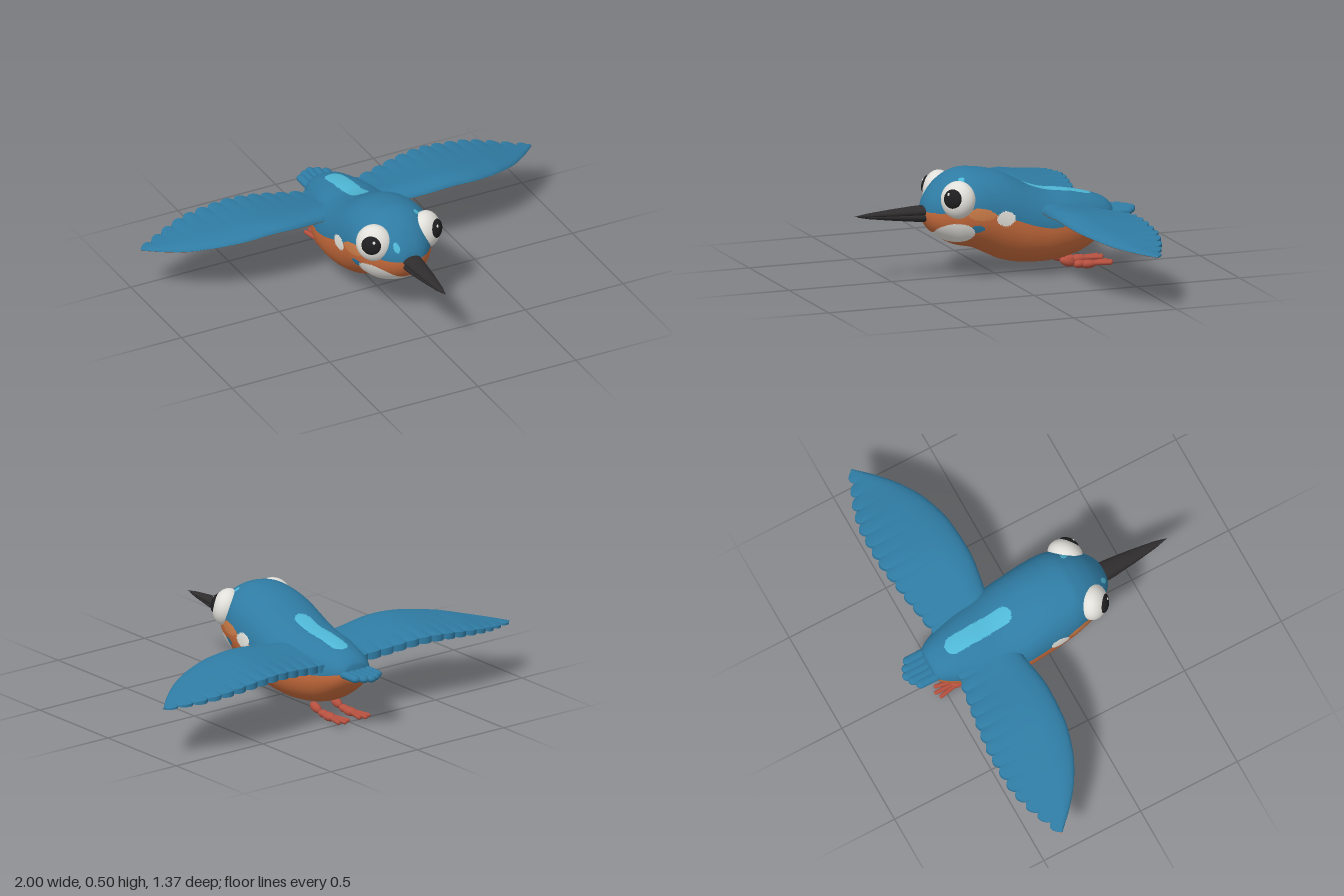
import * as THREE from 'three';
import { mergeVertices, toCreasedNormals } from 'three/addons/utils/BufferGeometryUtils.js';

const paint = (name, color) => {
  const m = new THREE.MeshStandardMaterial({ color });
  m.name = name;
  return m;
};

// smooth monotone curve through [position, value] pairs, positions ascending
function curve(pts) {
  const n = pts.length;
  const d = pts.slice(1).map((p, i) => (p[1] - pts[i][1]) / (p[0] - pts[i][0]));
  const m = pts.map((_, i) => {
    if (i === 0) return d[0];
    if (i === n - 1) return d[n - 2];
    return d[i - 1] * d[i] <= 0 ? 0 : (2 * d[i - 1] * d[i]) / (d[i - 1] + d[i]);
  });
  return (x) => {
    x = Math.min(Math.max(x, pts[0][0]), pts[n - 1][0]);
    let i = 0;
    while (i < n - 2 && x > pts[i + 1][0]) i++;
    const h = pts[i + 1][0] - pts[i][0], t = (x - pts[i][0]) / h, q = 1 - t;
    return (1 + 2 * t) * q * q * pts[i][1] + t * q * q * h * m[i]
      + t * t * (3 - 2 * t) * pts[i + 1][1] - t * t * q * h * m[i + 1];
  };
}

// surface from a grid of points
function grid(nu, nv, point, flip = false) {
  const pos = [], index = [];
  for (let i = 0; i <= nu; i++) for (let j = 0; j <= nv; j++) pos.push(...point(i, j));
  for (let i = 0; i < nu; i++) for (let j = 0; j < nv; j++) {
    const a = i * (nv + 1) + j, b = a + nv + 1;
    if (flip) index.push(a, a + 1, b, b, a + 1, b + 1);
    else index.push(a, b, a + 1, b, b + 1, a + 1);
  }
  const g = new THREE.BufferGeometry();
  g.setAttribute('position', new THREE.Float32BufferAttribute(pos, 3));
  g.setIndex(index);
  return g;
}

export function createModel() {
  const root = new THREE.Group();
  root.name = 'bird';
  const blue = paint('feather blue', 0x2f7ba3);
  const orange = paint('belly orange', 0xc56a3b);
  const ear = paint('ear patch light orange', 0xcd7d48);
  const white = paint('white', 0xe2e0da);
  const cyan = paint('back stripe cyan', 0x4fb8d6);
  const brown = paint('wing underside brown', 0xb57045);
  const black = paint('beak black', 0x2e2c2d);
  const dark = paint('pupil black', 0x1e1e20);
  const red = paint('foot red', 0xb5503f);

  const add = (name, geo, mat, parent = root) => {
    const m = new THREE.Mesh(geo, mat);
    m.name = name;
    parent.add(m);
    return m;
  };
  const ball = (name, mat, p, r, parent = root) => {
    const m = add(name, new THREE.SphereGeometry(1, 32, 20), mat, parent);
    m.position.set(...p);
    m.scale.set(...r);
    return m;
  };

  // body: oval sections along z
  const top = curve([[-0.565, 0.25], [-0.55, 0.3], [-0.5, 0.333], [-0.345, 0.372], [-0.24, 0.385], [-0.16, 0.41],
    [0, 0.485], [0.08, 0.502], [0.15, 0.508], [0.2, 0.498], [0.26, 0.468], [0.315, 0.415], [0.345, 0.365], [0.358, 0.31]]);
  const bottom = curve([[-0.565, 0.25], [-0.55, 0.2], [-0.49, 0.14], [-0.38, 0.077], [-0.28, 0.055], [-0.2, 0.05],
    [-0.1, 0.056], [-0.015, 0.075], [0.06, 0.11], [0.13, 0.142], [0.2, 0.157], [0.26, 0.185], [0.31, 0.222], [0.345, 0.27], [0.358, 0.31]]);
  const width = curve([[-0.565, 0], [-0.55, 0.075], [-0.5, 0.113], [-0.4, 0.153], [-0.3, 0.183], [-0.2, 0.2],
    [-0.1, 0.206], [0, 0.206], [0.1, 0.202], [0.2, 0.177], [0.26, 0.145], [0.31, 0.105], [0.345, 0.057], [0.358, 0]]);
  const NZ = 200, NA = 176;
  const body = mergeVertices(grid(NZ, NA, (i, j) => {
    const z = -0.1035 + 0.4615 * Math.cos((Math.PI * i) / NZ);
    const a = (2 * Math.PI * (j % NA)) / NA, c = Math.cos(a), s = Math.sin(a);
    const cy = (top(z) + bottom(z)) / 2, h = (top(z) - bottom(z)) / 2;
    return [width(z) * Math.sign(c) * Math.abs(c) ** 0.9, cy + h * Math.sign(s) * Math.abs(s) ** 0.95, z];
  }), 1e-5);
  body.computeVertexNormals();

  // plumage pattern, chosen face by face
  const plumageLine = curve([[-0.56, 0.26], [-0.4, 0.235], [-0.22, 0.235], [-0.05, 0.282], [0.05, 0.315],
    [0.1, 0.345], [0.15, 0.355], [0.2, 0.34], [0.25, 0.33], [0.36, 0.325]]);
  const oval = (a, b, ra, rb) => (a / ra) ** 2 + (b / rb) ** 2 < 1;
  const plumage = (x, y, z) => {
    const stripeZ = Math.max(0, Math.abs(z + 0.297) - 0.125);
    if (y > 0.3 && Math.hypot(x, stripeZ) < 0.043) return 3;
    if (z > 0.25 && oval(x + 0.064, y - 0.39, 0.013, 0.022)) return 3;
    if (y > 0.36 && oval(x - 0.1, z - 0.2, 0.014, 0.014)) return 3;
    if (oval(z - 0.235, y - 0.233, 0.077, 0.05) || oval(z - 0.02, y - 0.3, 0.045, 0.034)) return 2;
    if (oval(z - 0.15, y - 0.257, 0.03, 0.018)) return 0;
    if (y > plumageLine(z)) return 0;
    return oval(z - 0.13, y - 0.327, 0.065, 0.03) ? 4 : 1;
  };
  const sets = [[], [], [], [], []], P = body.attributes.position, I = body.index.array;
  for (let k = 0; k < I.length; k += 3) {
    const f = [I[k], I[k + 1], I[k + 2]];
    const mean = (get) => (P[get](f[0]) + P[get](f[1]) + P[get](f[2])) / 3;
    sets[plumage(mean('getX'), mean('getY'), mean('getZ'))].push(...f);
  }
  body.setIndex(sets.flat());
  let start = 0;
  sets.forEach((s, k) => { body.addGroup(start, s.length, k); start += s.length; });
  add('body', body, [blue, orange, white, cyan, ear]);

  // wings: cambered sections with a scalloped feather edge
  const lead = curve([[0.08, -0.17], [0.2, -0.158], [0.37, -0.137], [0.54, -0.145], [0.68, -0.178], [0.81, -0.24], [0.92, -0.325], [1, -0.405]]);
  const trail = curve([[0.08, -0.46], [0.2, -0.48], [0.35, -0.507], [0.55, -0.53], [0.7, -0.526], [0.82, -0.498], [0.92, -0.458], [1, -0.425]]);
  const rise = curve([[0.08, 0.3], [0.2, 0.311], [0.43, 0.327], [0.7, 0.3], [0.85, 0.273], [1, 0.25]]);
  const thick = curve([[0.08, 0.042], [0.2, 0.038], [0.45, 0.035], [0.7, 0.027], [0.9, 0.015], [1, 0.007]]);
  const NS = 168, NC = 18, feathers = 14;
  const wingPoint = (side, i, c, up) => {
    const s = i / NS, x = 0.08 + 0.918 * s;
    const scallop = Math.abs(Math.sin(Math.PI * feathers * s)) ** 0.6;
    const z0 = lead(x), z1 = trail(x) + (0.014 + 0.016 * s) * (1 - scallop) * c ** 3;
    const nose = Math.sqrt(1 - (1 - Math.min(1, c / 0.35)) ** 2);
    const bulge = up > 0 ? 1.25 * (1 - 0.6 * c) : -0.5 * (1 - 0.2 * c);
    const groove = up > 0 ? 0.004 * c ** 4 * (1 - scallop) : 0;
    const y = rise(x) - 0.033 * c * (1 - s) + bulge * thick(x) * nose - groove;
    return [side * x, y, z0 + (z1 - z0) * c];
  };
  for (const side of [1, -1]) {
    const wing = new THREE.Group();
    wing.name = side > 0 ? 'leftWing' : 'rightWing';
    root.add(wing);
    // upper surface wraps round the trailing edge
    const upper = grid(NS, NC + 2, (i, j) => j <= NC
      ? wingPoint(side, i, (j / NC) ** 1.6, 1)
      : wingPoint(side, i, j === NC + 1 ? 1 : 0.95, -1), side < 0);
    const under = grid(NS, NC, (i, j) => wingPoint(side, i, 0.95 * (j / NC) ** 1.6, -1), side > 0);
    add('wingTop', toCreasedNormals(upper, 0.8), blue, wing);
    add('wingUnderside', toCreasedNormals(under, 0.8), brown, wing);
  }

  // tail: overlapping round-ended feathers
  for (let i = -2; i <= 2; i++) {
    const f = add('tailFeather', new THREE.CapsuleGeometry(0.023, 0.15, 8, 20).rotateX(Math.PI / 2), blue);
    f.position.set(i * 0.031, 0.255, [-0.587, -0.573, -0.55][Math.abs(i)]);
    f.scale.y = 0.75;
  }

  // beak: upper and lower halves
  for (const [name, y, len] of [['upperBeak', 0.322, 0.37], ['lowerBeak', 0.295, 0.36]]) {
    const cone = new THREE.LatheGeometry(
      [[0.046, 0], [0.042, 0.08], [0.031, 0.19], [0.015, 0.31], [0, 0.37]].map((p) => new THREE.Vector2(...p)), 28);
    cone.rotateX(Math.PI / 2);
    const b = add(name, cone, black);
    b.position.set(0, y, 0.313);
    b.scale.set(1, 0.58, len / 0.37);
    b.rotation.x = name === 'upperBeak' ? 0.005 : -0.06;
  }

  for (const side of [1, -1]) {
    // eyes: broad discs facing forward and outward
    const eye = new THREE.Group();
    eye.name = side > 0 ? 'leftEye' : 'rightEye';
    eye.position.set(side * 0.131, 0.389, 0.227);
    eye.rotation.set(-0.15, side * 0.65, 0, 'YXZ');
    root.add(eye);
    ball('eyeball', white, [0, 0, 0], [0.084, 0.087, 0.066], eye);
    ball('pupil', dark, [side * 0.004, 0.006, 0.052], [0.046, 0.045, 0.023], eye);
    ball('eyeGlint', white, [-side * 0.01, 0.026, 0.07], [0.007, 0.008, 0.004], eye);

    // legs and feet, trailing backwards
    const foot = new THREE.Group();
    foot.name = side > 0 ? 'leftFoot' : 'rightFoot';
    foot.position.x = side * 0.06;
    root.add(foot);
    ball('leg', red, [0, 0.042, -0.332], [0.02, 0.021, 0.037], foot).rotation.x = -0.35;
    ball('heel', red, [0, 0.027, -0.39], [0.021, 0.018, 0.032], foot);
    ball('footPad', red, [0, 0.024, -0.432], [0.026, 0.02, 0.044], foot);
    for (const k of [-1, 0, 1]) {
      const toe = add('toe', new THREE.CapsuleGeometry(0.01, 0.09, 6, 12).rotateX(Math.PI / 2), red, foot);
      toe.position.set(k * 0.018, 0.027, -0.5 + Math.abs(k) * 0.012);
      toe.rotation.y = -k * 0.2;
    }
  }
  return root;
}
